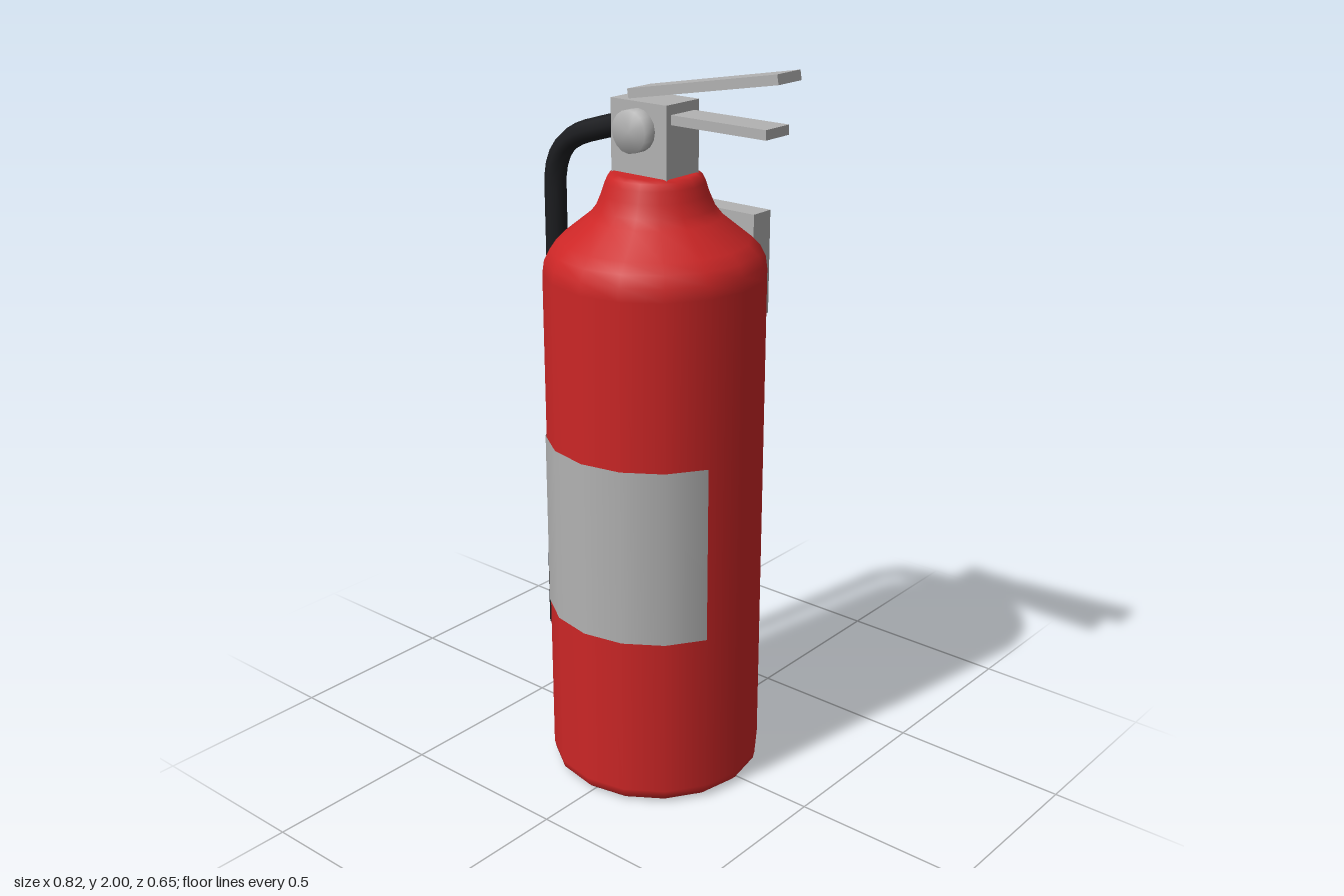
import * as THREE from 'three';

const CX = -0.012, CZ = 0.026; // axis of the tank

function material(name, color, side = THREE.FrontSide) {
  const m = new THREE.MeshStandardMaterial({ color, side });
  m.name = name;
  return m;
}

const profile = (points) => points.map(([r, y]) => new THREE.Vector2(r, y));

export function createModel() {
  const group = new THREE.Group();
  const red = material('red paint', 0xcc2626);
  const grey = material('grey metal', 0xb2b2b2, THREE.DoubleSide);
  const black = material('black rubber', 0x1c1d20);

  function add(name, geometry, mat, x = 0, y = 0, z = 0) {
    const mesh = new THREE.Mesh(geometry, mat);
    mesh.name = name;
    mesh.position.set(x, y, z);
    group.add(mesh);
    return mesh;
  }

  // Tank with rounded foot, sloping shoulder and neck
  add('tank', new THREE.LatheGeometry(profile([
    [0, 0.003], [0.255, 0.003], [0.278, 0.007], [0.291, 0.02], [0.295, 0.04],
    [0.295, 1.44], [0.29, 1.475], [0.275, 1.505], [0.25, 1.53],
    [0.175, 1.59], [0.155, 1.615], [0.14, 1.65], [0.13, 1.68],
    [0.122, 1.697], [0.108, 1.705], [0, 1.705],
  ]), 16), red, CX, 0, CZ);

  // Label wrapped round the front
  add('label', new THREE.LatheGeometry(profile([[0.298, 0.495], [0.298, 0.988]]),
    6, -Math.PI * 0.375, Math.PI * 0.75), grey, CX, 0, CZ);

  // Valve, levers and wall bracket
  add('valve', new THREE.BoxGeometry(0.184, 0.19, 0.128), grey, -0.013, 1.796, CZ);
  add('carryHandle', new THREE.BoxGeometry(0.43, 0.025, 0.092), grey, 0.157, 1.853, CZ);
  const lever = add('squeezeLever', new THREE.BoxGeometry(0.474, 0.025, 0.092), grey, 0.17, 1.945, CZ);
  lever.rotation.z = 0.18;
  add('wallBracket', new THREE.BoxGeometry(0.222, 0.29, 0.073), grey, -0.013, 1.41, -0.287);

  // Pressure gauge with softly shaded rim
  const gauge = add('gauge', new THREE.LatheGeometry(profile([
    [0.055, 0], [0.055, 0.038], [0, 0.038],
  ]), 16), grey, -0.013, 1.82, 0.09);
  gauge.rotation.x = Math.PI / 2;

  // Hose from the valve down to the nozzle
  const p = (x, y) => new THREE.Vector3(x, y, CZ);
  const path = new THREE.CurvePath();
  path.add(new THREE.LineCurve3(p(-0.09, 1.825), p(-0.24, 1.78)));
  path.add(new THREE.CubicBezierCurve3(p(-0.24, 1.78), p(-0.32, 1.755), p(-0.366, 1.71), p(-0.366, 1.62)));
  path.add(new THREE.LineCurve3(p(-0.366, 1.62), p(-0.366, 0.45)));
  add('hose', new THREE.TubeGeometry(path, 48, 0.03, 8), black);

  add('nozzle', new THREE.CylinderGeometry(0.048, 0.048, 0.218, 12), black, -0.366, 0.411, CZ);

  return group;
}
